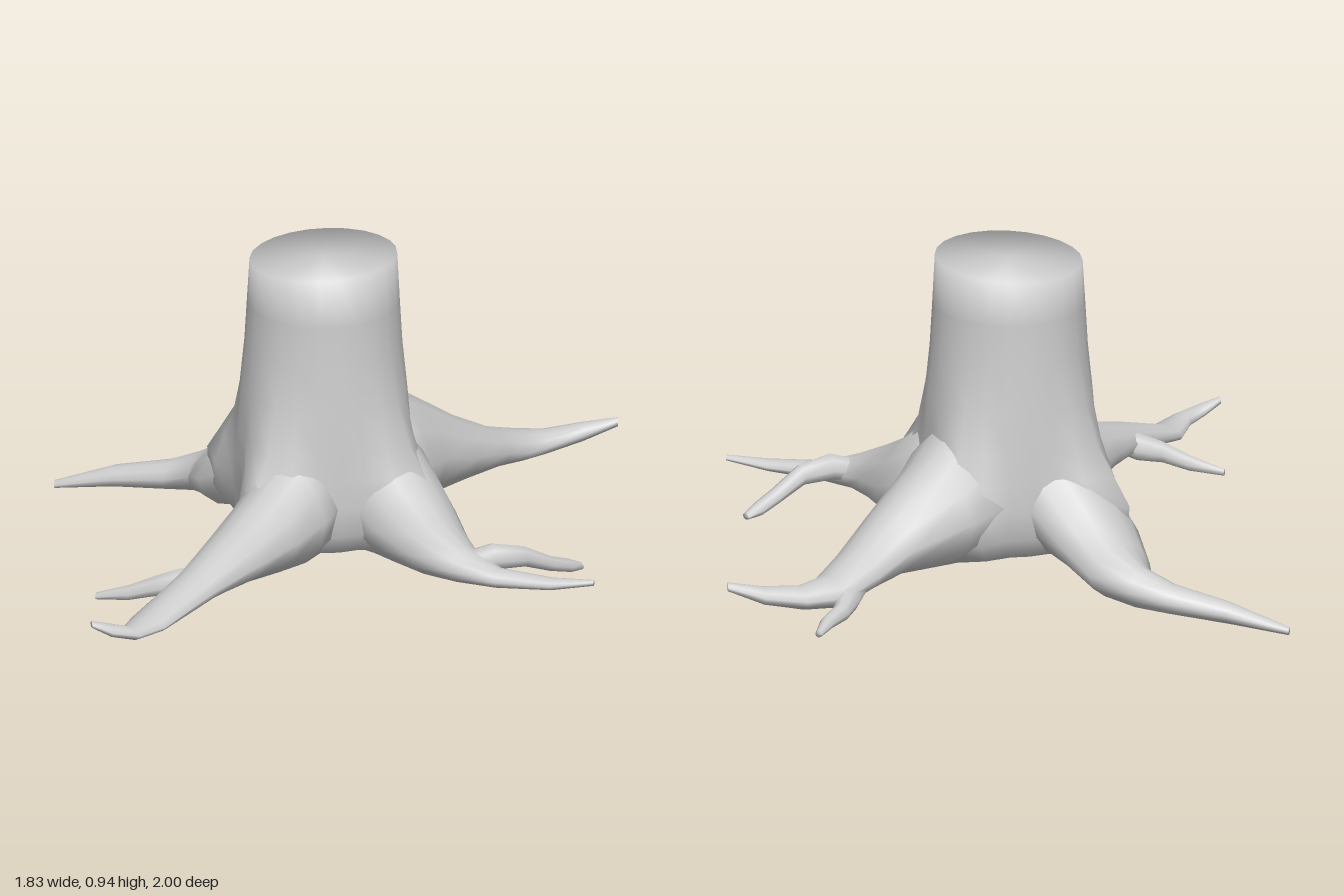
import * as THREE from 'three';

const material = new THREE.MeshStandardMaterial({ color: 0xcccccc });

// Skin a series of closed rings and close both ends, all smooth
function loft(rings, name, startCap = null) {
  const n = rings[0].length, pos = [], idx = [];
  rings.forEach(r => r.forEach(p => pos.push(p.x, p.y, p.z)));
  for (let i = 0; i < rings.length - 1; i++) {
    for (let j = 0; j < n; j++) {
      const k = (j + 1) % n, a = i * n + j, b = i * n + k;
      idx.push(a, b, a + n, b, b + n, a + n);
    }
  }
  const centre = r => r.reduce((s, p) => s.add(p), new THREE.Vector3()).divideScalar(n);
  const last = (rings.length - 1) * n, c0 = rings.length * n;
  for (const c of [startCap || centre(rings[0]), centre(rings[rings.length - 1])]) pos.push(c.x, c.y, c.z);
  for (let j = 0; j < n; j++) {
    const k = (j + 1) % n;
    idx.push(c0, k, j, c0 + 1, last + j, last + k);
  }
  const g = new THREE.BufferGeometry();
  g.setAttribute('position', new THREE.Float32BufferAttribute(pos, 3));
  g.setIndex(idx);
  g.computeVertexNormals();
  const mesh = new THREE.Mesh(g, material);
  mesh.name = name;
  return mesh;
}

// Root from stations [x, z, half width, top y, bottom y]
function root(name, stations, sides = 12) {
  const rings = stations.map(([x, z, w, top, bottom], i) => {
    const p = stations[Math.max(i - 1, 0)], q = stations[Math.min(i + 1, stations.length - 1)];
    const d = new THREE.Vector2(q[0] - p[0], q[1] - p[1]).normalize();
    return Array.from({ length: sides }, (_, j) => {
      const a = j / sides * Math.PI * 2, s = Math.sin(a);
      // upper half is narrower, like a ridge
      const side = w * Math.cos(a) * (s > 0 ? 1 - 0.25 * s : 1);
      return new THREE.Vector3(x + d.y * side, (top + bottom) / 2 + (top - bottom) / 2 * s, z - d.x * side);
    });
  });
  return loft(rings, name);
}

// Trunk rings from [y, radius, flare towards the four roots], top to bottom
function trunk() {
  const profile = [
    [0.93, 0.203, 0], [0.8, 0.21, 0], [0.68, 0.217, 0], [0.55, 0.23, 0.012], [0.43, 0.24, 0.04],
    [0.35, 0.245, 0.085], [0.27, 0.25, 0.13], [0.19, 0.245, 0.13], [0.13, 0.21, 0.08], [0.1, 0.12, 0.03],
  ];
  const sides = 24;
  const rings = profile.map(([y, r, flare], i) => Array.from({ length: sides }, (_, j) => {
    const a = j / sides * Math.PI * 2;
    const rad = r + flare * Math.max(0, Math.cos(4 * a));
    const x = rad * Math.cos(a);
    return new THREE.Vector3(x, y + (i === 0 ? 0.06 * x : 0), -0.08 + rad * Math.sin(a));
  }));
  return loft(rings, 'trunk', new THREE.Vector3(0, 0.93, -0.08));
}

export function createModel() {
  const group = new THREE.Group();
  group.name = 'treeStump';
  group.add(trunk());

  // Four main roots
  group.add(root('frontRoot', [
    [0.03, 0.02, 0.14, 0.5, 0.1], [0.03, 0.16, 0.135, 0.41, 0.1], [0.03, 0.28, 0.12, 0.345, 0.12],
    [0.03, 0.42, 0.1, 0.295, 0.145], [0.025, 0.6, 0.072, 0.24, 0.155], [0, 0.8, 0.058, 0.175, 0.13],
    [0.005, 0.9, 0.036, 0.178, 0.14], [-0.03, 0.95, 0.028, 0.195, 0.16], [-0.065, 0.988, 0.012, 0.21, 0.19],
  ]));
  group.add(root('leftRoot', [
    [0.06, -0.1, 0.16, 0.52, 0.09], [0.22, -0.095, 0.15, 0.45, 0.085], [0.32, -0.045, 0.13, 0.35, 0.1],
    [0.44, 0.02, 0.1, 0.28, 0.12], [0.54, 0.045, 0.07, 0.23, 0.132], [0.65, 0.04, 0.042, 0.19, 0.138],
    [0.8, 0, 0.028, 0.182, 0.15], [0.91, -0.04, 0.01, 0.188, 0.172],
  ]));
  group.add(root('rightRoot', [
    [-0.06, -0.11, 0.15, 0.5, 0.12], [-0.2, -0.125, 0.14, 0.42, 0.12], [-0.33, -0.155, 0.13, 0.29, 0.085],
    [-0.43, -0.225, 0.1, 0.215, 0.062], [-0.51, -0.245, 0.065, 0.165, 0.052], [-0.6, -0.225, 0.05, 0.125, 0.042],
    [-0.75, -0.185, 0.038, 0.088, 0.028], [-0.91, -0.13, 0.014, 0.025, 0.003],
  ]));
  group.add(root('backRoot', [
    [0.06, -0.15, 0.17, 0.54, 0.09], [0.06, -0.28, 0.18, 0.48, 0.1], [0.07, -0.39, 0.16, 0.425, 0.12],
    [0.125, -0.54, 0.11, 0.315, 0.13], [0.145, -0.68, 0.087, 0.235, 0.12], [0.165, -0.79, 0.078, 0.19, 0.105],
    [0.215, -0.86, 0.05, 0.175, 0.11], [0.29, -0.94, 0.035, 0.185, 0.135], [0.37, -0.995, 0.014, 0.2, 0.175],
  ]));

  // Side shoots that fork off the roots
  group.add(root('frontRootShoot', [
    [0.03, 0.57, 0.03, 0.215, 0.165], [-0.04, 0.58, 0.045, 0.225, 0.145], [-0.1, 0.61, 0.035, 0.2, 0.14],
    [-0.17, 0.635, 0.025, 0.165, 0.12], [-0.26, 0.665, 0.012, 0.132, 0.112],
  ], 8));
  group.add(root('leftRootShoot', [
    [0.53, 0.05, 0.04, 0.21, 0.15], [0.6, -0.01, 0.045, 0.235, 0.16], [0.655, -0.08, 0.032, 0.215, 0.155],
    [0.69, -0.16, 0.026, 0.165, 0.12], [0.71, -0.22, 0.024, 0.14, 0.1], [0.725, -0.26, 0.014, 0.118, 0.098],
  ], 8));
  group.add(root('backRootShoot', [
    [0.14, -0.72, 0.06, 0.2, 0.12], [0.105, -0.8, 0.036, 0.17, 0.1], [0.09, -0.86, 0.026, 0.145, 0.095],
    [0.1, -0.92, 0.022, 0.125, 0.088], [0.09, -0.985, 0.01, 0.105, 0.085],
  ], 8));
  return group;
}
